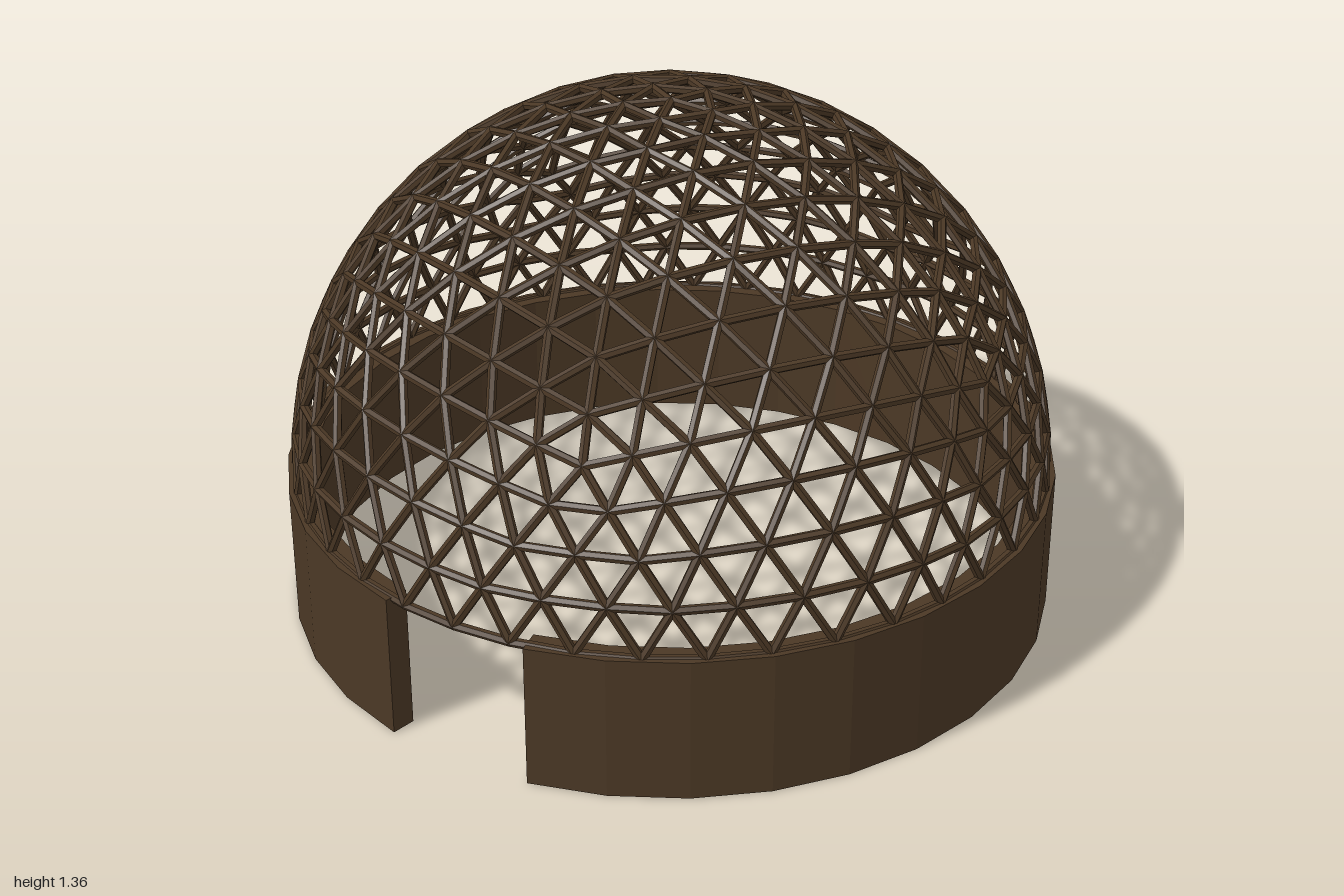
import * as THREE from 'three';
import { mergeGeometries, mergeVertices } from 'three/addons/utils/BufferGeometryUtils.js';

const WALL_HEIGHT = 0.38, WALL_OUTER = 0.998, WALL_INNER = 0.935, WALL_SIDES = 32;
const DOME_BASE = 0.375, DOME_RADIUS = 0.975, STRUT_RADIUS = 0.0115, FREQUENCY = 8;

// Faceted ring wall, open for two facets at the front
function wallGeometry() {
  const step = (Math.PI * 2) / WALL_SIDES;
  const arc = (r) => Array.from({ length: WALL_SIDES - 1 }, (_, i) => {
    const a = -Math.PI / 2 + (i + 1) * step;
    return new THREE.Vector2(r * Math.cos(a), r * Math.sin(a));
  });
  const shape = new THREE.Shape([...arc(WALL_OUTER), ...arc(WALL_INNER).reverse()]);
  return new THREE.ExtrudeGeometry(shape, { depth: WALL_HEIGHT, bevelEnabled: false }).rotateX(-Math.PI / 2);
}

// Subdivided icosahedron standing on a vertex, with one spoke towards +x
function geodesicSphere() {
  const points = [0, 1, 0];
  const ring = (y, offset) => {
    for (let i = 0; i < 5; i++) {
      const a = ((i + offset) * Math.PI * 2) / 5;
      points.push(Math.cos(a) * 2 / Math.sqrt(5), y, Math.sin(a) * 2 / Math.sqrt(5));
    }
  };
  ring(1 / Math.sqrt(5), 0);
  ring(-1 / Math.sqrt(5), 0.5);
  points.push(0, -1, 0);
  const faces = [];
  for (let i = 0; i < 5; i++) {
    const j = (i + 1) % 5;
    faces.push(0, 1 + j, 1 + i, 1 + i, 1 + j, 6 + i, 1 + j, 6 + j, 6 + i, 11, 6 + i, 6 + j);
  }
  const sphere = new THREE.PolyhedronGeometry(points, faces, DOME_RADIUS, FREQUENCY - 1);
  sphere.deleteAttribute('normal');
  sphere.deleteAttribute('uv');
  return mergeVertices(sphere, 1e-3);
}

// One hexagonal bar between two nodes
function strut(a, b) {
  const axis = b.clone().sub(a);
  const length = axis.length();
  const outward = a.clone().add(b).normalize();
  axis.divideScalar(length);
  const side = new THREE.Vector3().crossVectors(axis, outward);
  const frame = new THREE.Matrix4().makeBasis(side, axis, outward);
  frame.setPosition(a.clone().add(b).multiplyScalar(0.5));
  return new THREE.CylinderGeometry(STRUT_RADIUS, STRUT_RADIUS, length + 0.006, 6).toNonIndexed().applyMatrix4(frame);
}

// Bars along every edge of the upper half
function latticeGeometry() {
  const sphere = geodesicSphere();
  const pos = sphere.attributes.position, index = sphere.index.array;
  const seen = new Set(), bars = [];
  const node = (i) => new THREE.Vector3().fromBufferAttribute(pos, i);
  for (let f = 0; f < index.length; f += 3) {
    for (let k = 0; k < 3; k++) {
      const i = index[f + k], j = index[f + ((k + 1) % 3)];
      const key = Math.min(i, j) + '-' + Math.max(i, j);
      if (seen.has(key) || pos.getY(i) < -0.01 || pos.getY(j) < -0.01) continue;
      seen.add(key);
      bars.push(strut(node(i), node(j)));
    }
  }
  const merged = mergeGeometries(bars);
  merged.computeVertexNormals();
  return merged;
}

export function createModel() {
  const wood = new THREE.MeshStandardMaterial({ color: 0x4b3825 });
  wood.name = 'dark brown wood';

  const wall = new THREE.Mesh(wallGeometry(), wood);
  wall.name = 'baseWall';

  const lattice = new THREE.Mesh(latticeGeometry(), wood);
  lattice.name = 'domeLattice';
  lattice.position.y = DOME_BASE;

  const model = new THREE.Group();
  model.name = 'latticeDome';
  model.add(wall, lattice);
  return model;
}
